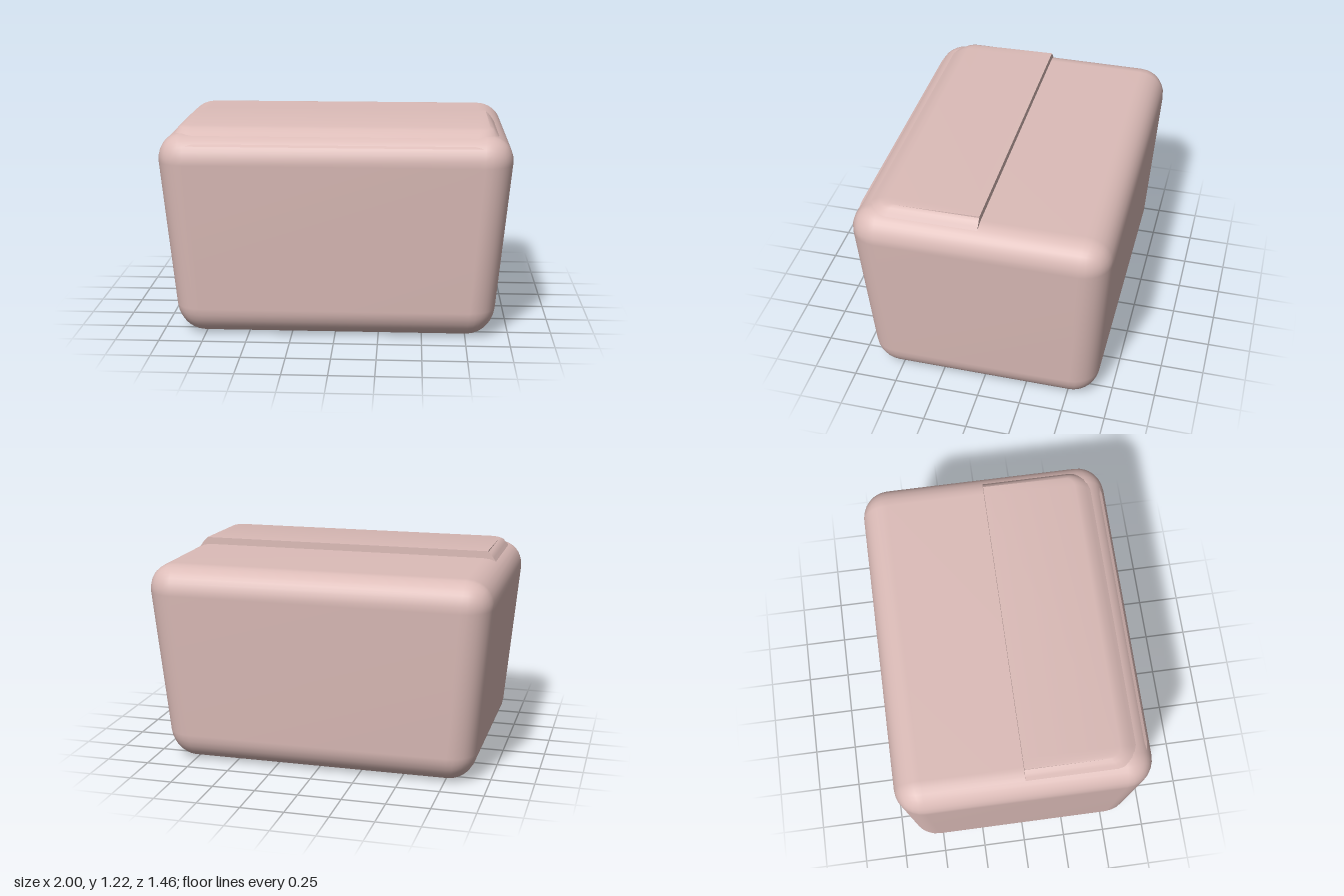
import * as THREE from 'three';
import { mergeVertices, toCreasedNormals } from 'three/addons/utils/BufferGeometryUtils.js';
import { RoundedBoxGeometry } from 'three/addons/geometries/RoundedBoxGeometry.js';

const HEIGHT = 1.18;

// Rounded box that narrows evenly towards the base
function bodyGeometry() {
  let geo = new RoundedBoxGeometry(2, HEIGHT, 1.46, 4, 0.165);
  geo.translate(0, HEIGHT / 2, 0);
  const p = geo.attributes.position;
  for (let i = 0; i < p.count; i++) {
    const s = 1 - (1.03 - p.getY(i)) * 0.09;
    p.setX(i, p.getX(i) * s);
    p.setZ(i, p.getZ(i) * s);
  }
  geo.clearGroups();
  geo.deleteAttribute('uv');
  geo.deleteAttribute('normal');
  geo = mergeVertices(geo, 1e-4);
  geo.computeVertexNormals();
  return geo;
}

// Open outline of the flap: back left, round the two front corners, back right
function outline(halfWidth, front, y, r) {
  const pts = [[-halfWidth, y, 0]];
  for (const side of [-1, 1]) {
    for (let i = 0; i <= 5; i++) {
      const t = (i / 5) * Math.PI / 2;
      const a = side < 0 ? t : Math.PI / 2 - t;
      pts.push([
        side * (halfWidth - r + r * Math.cos(a)),
        y,
        front - r + r * Math.sin(a),
      ]);
    }
  }
  pts.push([halfWidth, y, 0]);
  return pts;
}

// Raised flap: bevelled rim stepping up to a top that rises gently to its back edge
function flapGeometry() {
  const rows = [
    outline(0.95, 0.705, 1.12, 0.17),
    outline(0.905, 0.61, 1.183, 0.1),
    outline(0.89, 0.575, 1.203, 0.08),
    outline(0.87, 0.54, 1.213, 0.06),
  ];
  rows.push(rows[3].map(([x]) => [x, 1.222, 0]));
  const n = rows[0].length;
  const index = [];
  for (let j = 0; j < rows.length - 1; j++) {
    for (let i = 0; i < n - 1; i++) {
      const a = j * n + i, b = a + 1, c = a + n, d = c + 1;
      index.push(a, b, d, a, d, c);
    }
  }
  const geo = new THREE.BufferGeometry();
  geo.setAttribute('position', new THREE.Float32BufferAttribute(rows.flat(2), 3));
  geo.setIndex(index);
  return toCreasedNormals(geo, 0.7);
}

// Upright back edge of the flap, facing -z
function flapEdgeGeometry() {
  const half = [[0.95, 1.12], [0.905, 1.183], [0.89, 1.203], [0.87, 1.222]];
  const pts = [...half, ...half.map(([x, y]) => [-x, y]).reverse()];
  return new THREE.ShapeGeometry(new THREE.Shape(pts.map(([x, y]) => new THREE.Vector2(x, y))));
}

export function createModel() {
  const model = new THREE.Group();
  model.name = 'box';
  const material = new THREE.MeshStandardMaterial({ color: 0xdcbcb8 });
  const thin = new THREE.MeshStandardMaterial({ color: 0xdcbcb8, side: THREE.DoubleSide });
  const add = (name, geo, mat) => {
    const mesh = new THREE.Mesh(geo, mat);
    mesh.name = name;
    model.add(mesh);
  };
  add('body', bodyGeometry(), material);
  add('flap', flapGeometry(), thin);
  add('flapBackEdge', flapEdgeGeometry(), thin);
  return model;
}
